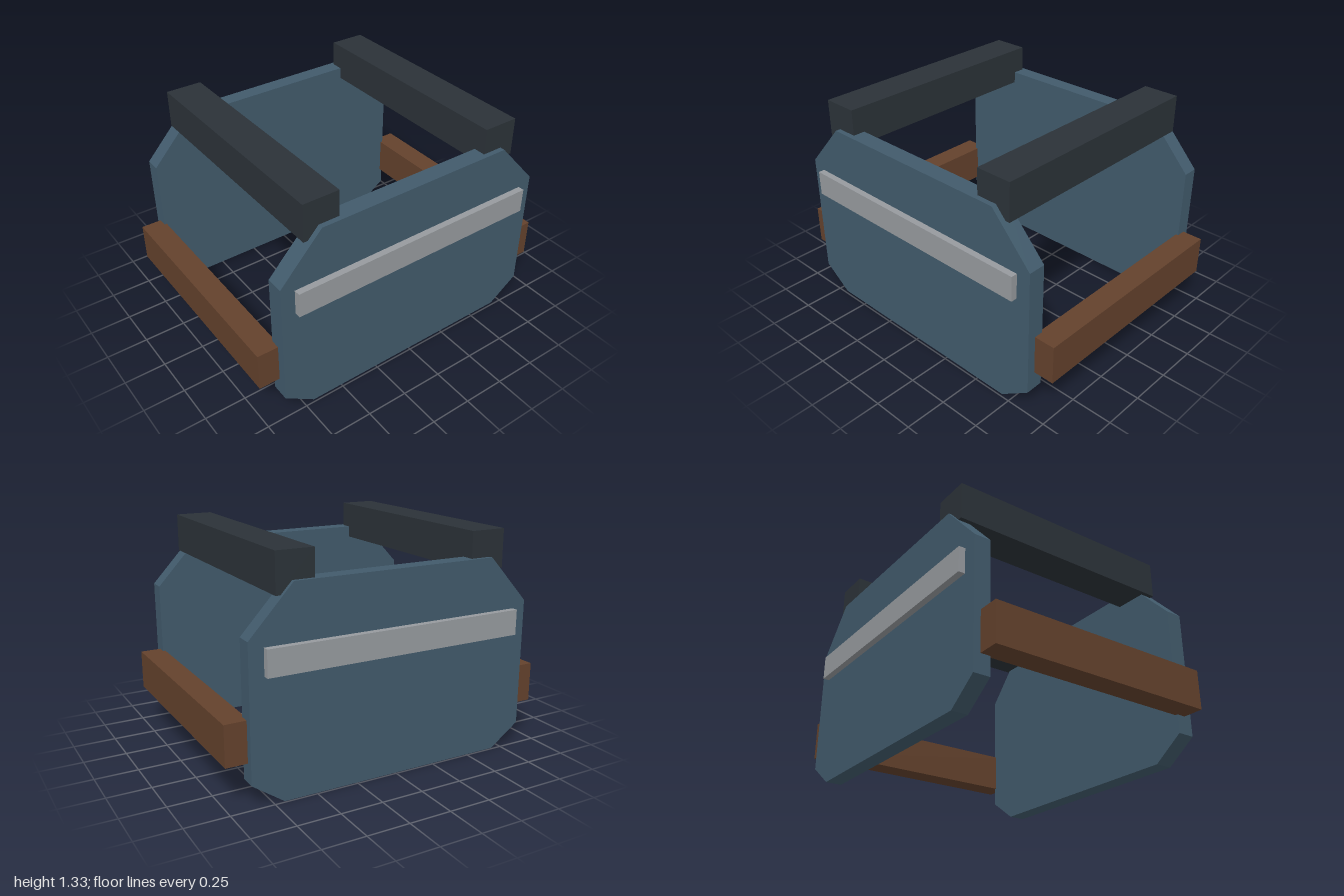
import * as THREE from 'three';

const material = (name, color) => {
  const m = new THREE.MeshStandardMaterial({ color });
  m.name = name;
  return m;
};

export function createModel() {
  const model = new THREE.Group();
  const slate = material('slate blue', 0x415a6b);
  const charcoal = material('charcoal', 0x2b3238);
  const brown = material('brown wood', 0x63412c);
  const metal = material('grey metal', 0x969a9e);

  const add = (name, geometry, mat) => {
    const mesh = new THREE.Mesh(geometry, mat);
    mesh.name = name;
    model.add(mesh);
  };
  // Box given by its minimum and maximum on each axis
  const box = (name, mat, [x0, x1], [y0, y1], [z0, z1]) => {
    const g = new THREE.BoxGeometry(x1 - x0, y1 - y0, z1 - z0);
    g.translate((x0 + x1) / 2, (y0 + y1) / 2, (z0 + z1) / 2);
    add(name, g, mat);
  };

  // Side panels: octagonal plates with clipped corners, extruded across x
  const half = [[0.69, 0], [0.875, 0.13], [0.875, 0.895], [0.62, 1.17]];
  const outline = [...half, ...half.map(([z, y]) => [-z, y]).reverse()];
  const shape = new THREE.Shape(outline.map(([z, y]) => new THREE.Vector2(z, y)));
  const panel = (name, x0, x1) => {
    const g = new THREE.ExtrudeGeometry(shape, { depth: x1 - x0, bevelEnabled: false });
    g.rotateY(Math.PI / 2).translate(x0, 0, 0);
    add(name, g, slate);
  };
  panel('leftPanel', 0.63, 0.735);
  panel('rightPanel', -0.74, -0.643);

  // Trim rails on the outer faces
  box('leftRail', metal, [0.735, 0.773], [0.705, 0.855], [-0.79, 0.79]);
  box('rightRail', metal, [-0.778, -0.74], [0.705, 0.855], [-0.79, 0.79]);

  // Cross beams: dark ones on top, wooden bumpers at the ends
  for (const [name, s] of [['front', 1], ['back', -1]]) {
    const span = (a, b) => (s > 0 ? [a, b] : [-b, -a]);
    box(name + 'TopBeam', charcoal, [-0.718, 0.704], [1.1, 1.325], span(0.493, 0.711));
    box(name + 'Bumper', brown, [-0.70, 0.685], [0.24, 0.475], span(0.86, 1));
  }
  return model;
}
